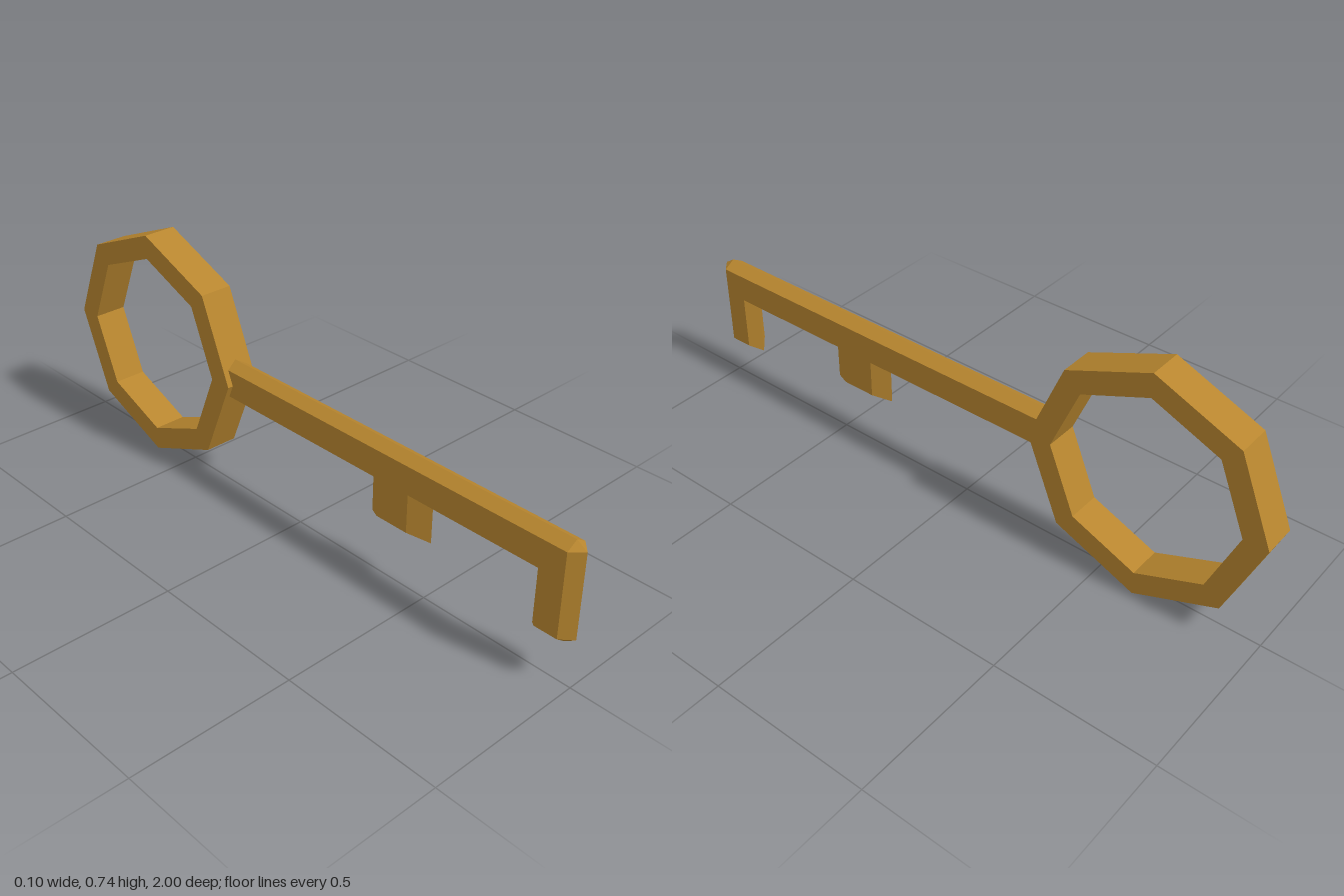
import * as THREE from 'three';

const brass = new THREE.MeshStandardMaterial({ color: 0xb8862f });
brass.name = 'brass';

// Flat side outline and wider middle ridge, matched point by point: [sideZ, sideY, ridgeZ, ridgeY]
const outline = [
  [0.967, 0.417, 0.967, 0.438], // top front
  [-0.285, 0.417, -0.285, 0.438], // end inside the bow
  [-0.285, 0.33, -0.285, 0.305],
  [0.345, 0.33, 0.295, 0.305], // middle tooth
  [0.345, 0.21, 0.295, 0.19],
  [0.455, 0.21, 0.515, 0.19],
  [0.455, 0.33, 0.515, 0.305],
  [0.895, 0.33, 0.865, 0.305], // front tooth
  [0.895, 0.155, 0.865, 0.13],
  [0.967, 0.155, 0.967, 0.13],
  [0.967, 0.155, 1, 0.152],
  [0.967, 0.417, 1, 0.417],
];

// Bevelled blade: two flat sides, each sloping out to the middle ridge
function bladeGeometry(halfWidth) {
  const positions = [];
  const side = outline.map(([z, y]) => new THREE.Vector2(z, y));
  const ridge = outline.map(([, , z, y]) => new THREE.Vector2(z, y));
  const caps = THREE.ShapeUtils.triangulateShape(side.slice(0, 10), []);
  for (const sign of [-1, 1]) {
    const x = sign * halfWidth;
    const triangle = (...corners) => {
      if (sign > 0) corners.reverse();
      for (const [px, p] of corners) positions.push(px, p.y, p.x);
    };
    for (const [a, b, c] of caps) triangle([x, side[a]], [x, side[b]], [x, side[c]]);
    side.forEach((a, i) => {
      const j = (i + 1) % side.length;
      triangle([x, a], [0, ridge[i]], [0, ridge[j]]);
      if (!a.equals(side[j])) triangle([x, a], [0, ridge[j]], [x, side[j]]);
    });
  }
  const geometry = new THREE.BufferGeometry();
  geometry.setAttribute('position', new THREE.Float32BufferAttribute(positions, 3));
  geometry.computeVertexNormals();
  return geometry;
}

// Octagonal ring with a matching hole
function bowGeometry(outer, inner, width) {
  const octagon = (r) => Array.from({ length: 8 }, (_, i) =>
    new THREE.Vector2(r * Math.cos(i * Math.PI / 4), r * Math.sin(i * Math.PI / 4)));
  const shape = new THREE.Shape(octagon(outer));
  shape.holes.push(new THREE.Path(octagon(inner)));
  const geometry = new THREE.ExtrudeGeometry(shape, { depth: width, bevelEnabled: false });
  return geometry.translate(0, 0, -width / 2).rotateY(-Math.PI / 2);
}

export function createModel() {
  const key = new THREE.Group();
  key.name = 'key';

  const blade = new THREE.Mesh(bladeGeometry(0.035), brass);
  blade.name = 'shaftAndTeeth';

  const bow = new THREE.Mesh(bowGeometry(0.371, 0.296, 0.105), brass);
  bow.name = 'bow';
  bow.position.set(0, 0.371, -0.629);

  key.add(blade, bow);
  return key;
}
